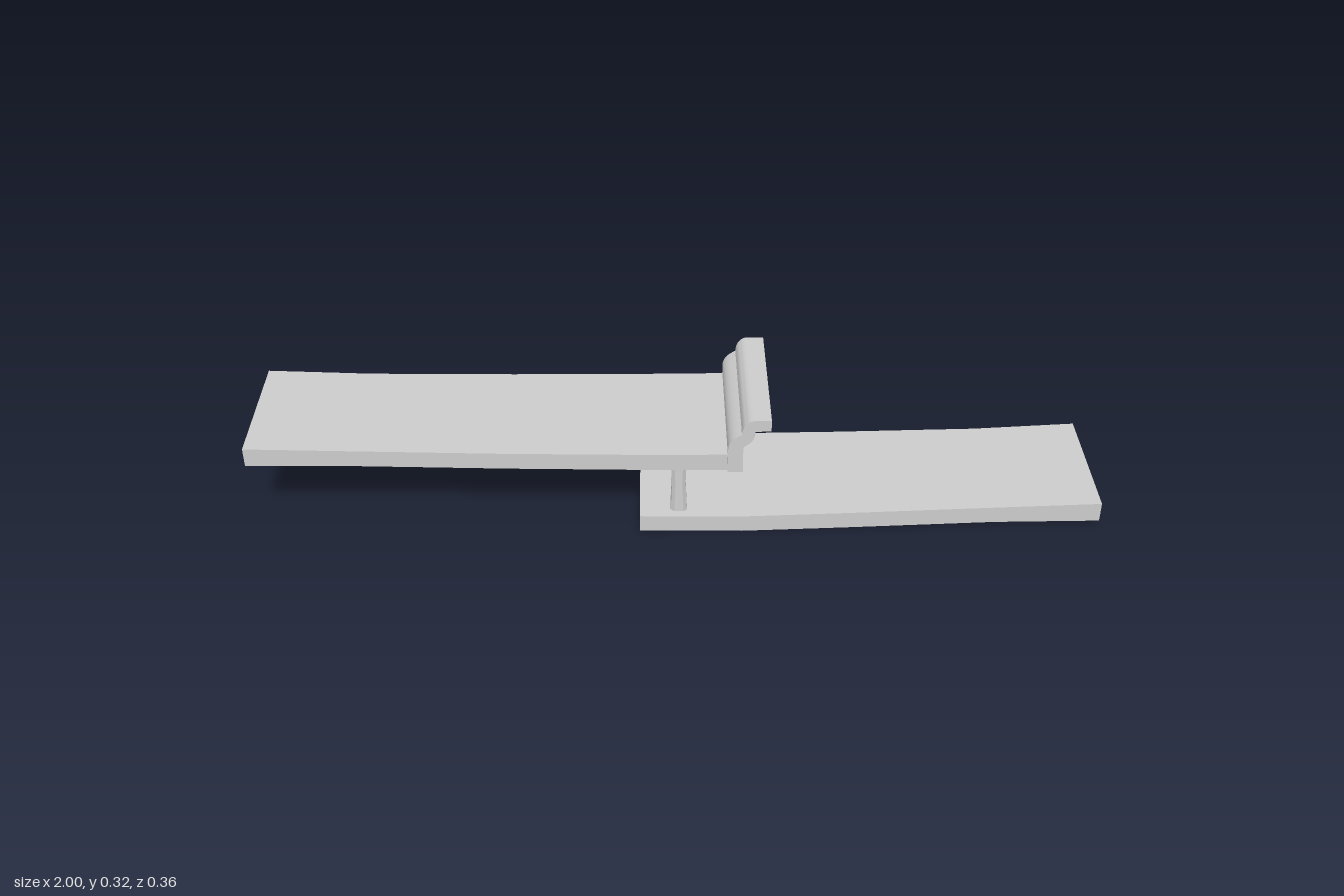
import * as THREE from 'three';
import { toCreasedNormals } from 'three/addons/utils/BufferGeometryUtils.js';

const material = new THREE.MeshStandardMaterial({ color: 0xcccccc });

function part(name, geometry) {
  const mesh = new THREE.Mesh(toCreasedNormals(geometry, 0.6), material);
  mesh.name = name;
  return mesh;
}

// Joins equal-length rings of points into a closed solid with capped ends.
function loft(rings) {
  const n = rings[0].length, index = [];
  for (let r = 0; r < rings.length - 1; r++) {
    for (let i = 0; i < n; i++) {
      const a = r * n + i, b = r * n + (i + 1) % n;
      index.push(a, b, b + n, a, b + n, a + n);
    }
  }
  const last = (rings.length - 1) * n;
  for (let i = 1; i < n - 1; i++) {
    index.push(0, i + 1, i, last, last + i, last + i + 1);
  }
  const geometry = new THREE.BufferGeometry();
  geometry.setAttribute('position', new THREE.Float32BufferAttribute(rings.flat(2), 3));
  geometry.setIndex(index);
  geometry.computeVertexNormals();
  return geometry;
}

// Bent plank from stations [x, bottom, top, front z]; the back edge is straight.
function plank(stations) {
  const back = -0.17;
  return loft(stations.map(([x, bottom, top, front]) => [
    [x, bottom, back], [x, top, back], [x, top, front], [x, bottom, front],
  ]));
}

// Post with bevelled corners; sections are [y, z min, z max, half width in x].
function post(sections) {
  return loft(sections.map(([y, z0, z1, w]) => {
    const c = 0.008;
    return [
      [-w + c, y, z1], [w - c, y, z1], [w, y, z1 - c], [w, y, z0 + c],
      [w - c, y, z0], [-w + c, y, z0], [-w, y, z0 + c], [-w, y, z1 - c],
    ];
  }));
}

// S-curved lip extruded across the end of the upper plank.
function lip() {
  const shape = new THREE.Shape();
  shape.moveTo(0.112, 0.18);
  shape.lineTo(0.147, 0.18);
  shape.lineTo(0.147, 0.247);
  shape.bezierCurveTo(0.149, 0.256, 0.174, 0.258, 0.174, 0.292);
  shape.lineTo(0.21, 0.294);
  shape.lineTo(0.21, 0.322);
  shape.lineTo(0.172, 0.322);
  shape.bezierCurveTo(0.155, 0.322, 0.143, 0.306, 0.143, 0.284);
  shape.bezierCurveTo(0.13, 0.276, 0.112, 0.268, 0.112, 0.24);
  shape.closePath();
  const geometry = new THREE.ExtrudeGeometry(shape, {
    depth: 0.358, bevelEnabled: false, curveSegments: 8,
  });
  return geometry.translate(0, 0, -0.179);
}

export function createModel() {
  const model = new THREE.Group();
  model.name = 'steppedPlanks';

  // Planks, each rising gently towards its free end
  model.add(part('upperPlank', plank([
    [-1, 0.195, 0.242, 0.16], [-0.75, 0.189, 0.231, 0.156],
    [-0.4, 0.184, 0.226, 0.164], [0, 0.181, 0.224, 0.172], [0.13, 0.181, 0.225, 0.172],
  ])));
  model.add(part('lowerPlank', plank([
    [-0.092, 0.005, 0.048, 0.173], [0.15, 0, 0.043, 0.171], [0.4, 0.002, 0.045, 0.164],
    [0.75, 0.008, 0.051, 0.156], [1, 0.014, 0.064, 0.162],
  ])));

  // Pair of posts between the planks
  model.add(part('frontPost', post([
    [0.03, 0.095, 0.153, 0.02], [0.07, 0.096, 0.152, 0.018],
    [0.12, 0.098, 0.149, 0.016], [0.19, 0.098, 0.148, 0.018],
  ])));
  model.add(part('backPost', post([
    [0.03, -0.147, -0.095, 0.02], [0.07, -0.146, -0.095, 0.018],
    [0.12, -0.145, -0.095, 0.016], [0.19, -0.145, -0.095, 0.018],
  ])));

  model.add(part('lip', lip()));
  return model;
}
